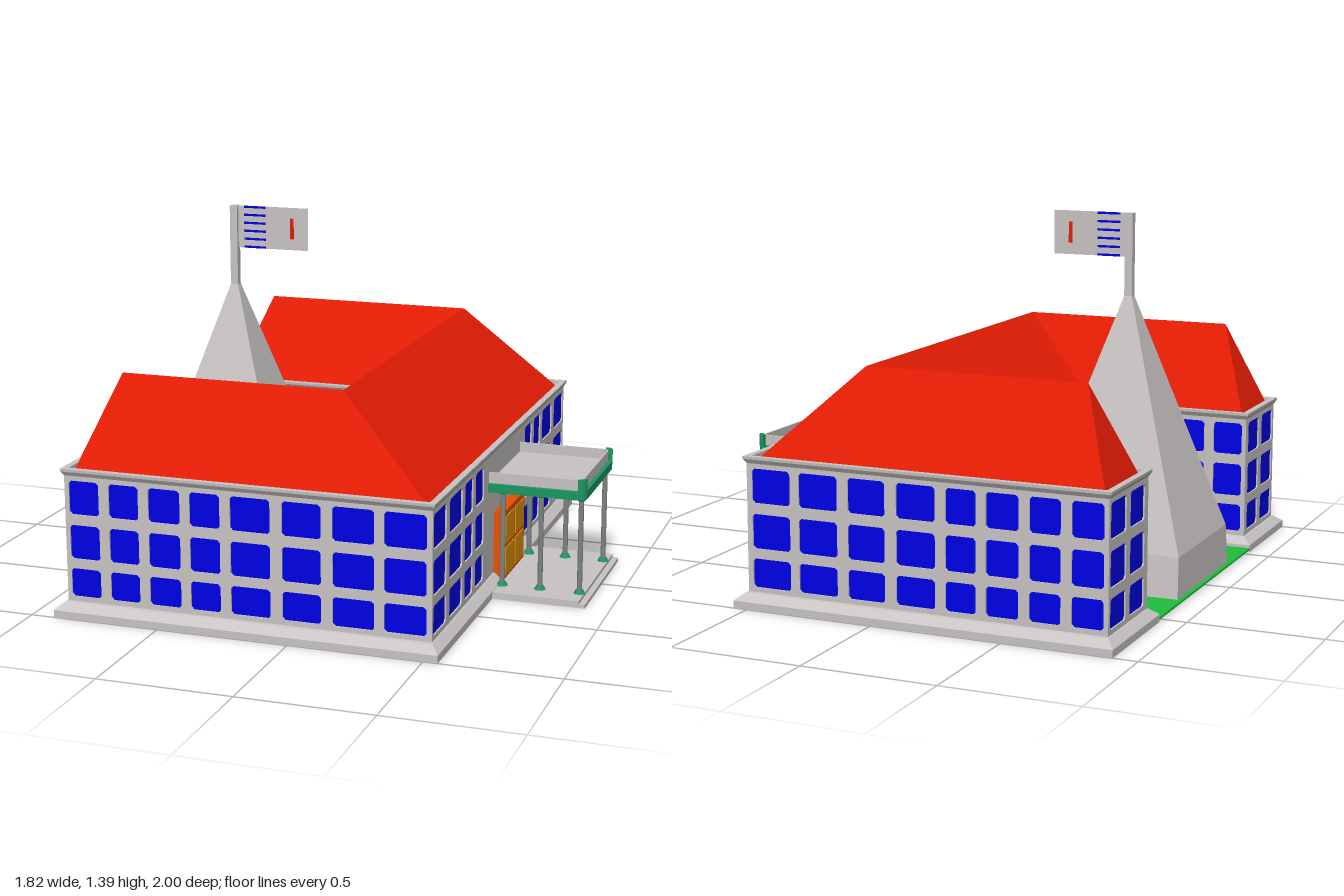
import * as THREE from 'three';
import { mergeGeometries } from 'three/addons/utils/BufferGeometryUtils.js';

const mat = (name, color, side = THREE.FrontSide) => {
  const m = new THREE.MeshStandardMaterial({ color, side });
  m.name = name;
  return m;
};

// Skin a list of closed sections, each a loop of [x, y, z] points
function loft(sections) {
  const pos = [];
  for (let s = 0; s + 1 < sections.length; s++) {
    const lo = sections[s], hi = sections[s + 1], n = lo.length;
    for (let i = 0; i < n; i++) {
      const j = (i + 1) % n;
      pos.push(...lo[i], ...lo[j], ...hi[j], ...lo[i], ...hi[j], ...hi[i]);
    }
  }
  const g = new THREE.BufferGeometry();
  g.setAttribute('position', new THREE.Float32BufferAttribute(pos, 3));
  g.computeVertexNormals();
  return g;
}

// U-shaped plan of the building at height y, grown outward by dx and dz, dx also in the court
const X0 = -0.874, X1 = 0.518, XI = -0.238, Z1 = 0.95, ZI = 0.57;
function plan(y, dx, dz = dx) {
  const a = X0 - dx, b = X1 + dx, c = XI - dx, z = Z1 + dz, i = ZI - dx;
  return [[a, y, z], [b, y, z], [b, y, -z], [a, y, -z], [a, y, -i], [c, y, -i], [c, y, i], [a, y, i]];
}

const rect = (x, hx, hz, y) => [[x - hx, y, hz], [x + hx, y, hz], [x + hx, y, -hz], [x - hx, y, -hz]];

// Flat shape in x/z, extruded down from yTop
function slab(shape, h, yTop) {
  return new THREE.ExtrudeGeometry(shape, { depth: h, bevelEnabled: false, curveSegments: 6 })
    .rotateX(Math.PI / 2).translate(0, yTop, 0);
}

// Window outline with clipped corners
function windowShape(u0, u1, v0, v1) {
  const c = 0.01, s = new THREE.Shape();
  s.moveTo(u0 + c, v0).lineTo(u1 - c, v0).lineTo(u1, v0 + c).lineTo(u1, v1 - c);
  s.lineTo(u1 - c, v1).lineTo(u0 + c, v1).lineTo(u0, v1 - c).lineTo(u0, v0 + c).closePath();
  return s;
}

// Canopy outline with rounded front corners
function canopyPath(PathType, inset, xBack) {
  const x = 0.89 - inset, z = 0.245 - inset, r = 0.035 - inset * 0.5, p = new PathType();
  p.moveTo(xBack, -z).lineTo(x - r, -z).quadraticCurveTo(x, -z, x, -z + r);
  p.lineTo(x, z - r).quadraticCurveTo(x, z, x - r, z).lineTo(xBack, z).closePath();
  return p;
}

export function createModel() {
  const root = new THREE.Group();
  root.name = 'courtyardBuilding';
  const stone = mat('stone grey', 0xc8c4c3, THREE.DoubleSide);
  const red = mat('roof red', 0xee1e04);
  const blue = mat('window blue', 0x0000ea);
  const grass = mat('grass green', 0x1ec03a);
  const trim = mat('trim green', 0x1c9862);
  const metal = mat('column grey', 0x7e8682);
  const orange = mat('door orange', 0xe85204);
  const amber = mat('door panel amber', 0xe09408);

  const add = (name, geo, material, parent = root) => {
    const m = new THREE.Mesh(geo, material);
    m.name = name;
    parent.add(m);
    return m;
  };
  const box = (name, x0, x1, y0, y1, z0, z1, material) =>
    add(name, new THREE.BoxGeometry(x1 - x0, y1 - y0, z1 - z0)
      .translate((x0 + x1) / 2, (y0 + y1) / 2, (z0 + z1) / 2), material);

  // Plinth, inner walls and flared cornice with a gutter
  const depth = 0.008;
  add('walls', loft([plan(0, 0.036, 0.05), plan(0.028, 0.036, 0.05), plan(0.053, 0.006, 0.012), plan(0.055, 0),
    plan(0.055, -depth), plan(0.53, -depth), plan(0.53, 0), plan(0.546, 0.01), plan(0.556, 0.011),
    plan(0.556, -0.014), plan(0.535, -0.014)]), stone);
  const floor = new THREE.Shape(plan(0, 0.036, 0.05).map(([x, , z]) => new THREE.Vector2(x, z)));
  add('underside', new THREE.ShapeGeometry(floor).rotateX(Math.PI / 2), stone);

  // Hipped roof over the three wings
  const A = [-0.72, 0.88, 0.76], B = [0.13, 0.88, 0.76], C = [0.13, 0.88, -0.76], D = [-0.72, 0.88, -0.76];
  add('roof', loft([plan(0.535, -0.024, -0.026), [A, B, C, D, D, C, B, A]]), red);

  // Facades: a wall face pierced by three storeys of recessed windows
  const rows = [[0.073, 0.18], [0.217, 0.345], [0.385, 0.512]];
  const facade = (name, cols, u0, u1, x, z, turn) => {
    const g = new THREE.Group();
    g.name = name;
    g.position.set(x, 0, z);
    g.rotation.y = turn;
    root.add(g);
    const openings = cols.flatMap(([a, b]) => rows.map(([c, d]) => windowShape(a, b, c, d)));
    const wall = new THREE.Shape();
    wall.moveTo(u0, 0.055).lineTo(u1, 0.055).lineTo(u1, 0.53).lineTo(u0, 0.53).closePath();
    wall.holes.push(...openings);
    add('wallFace', new THREE.ExtrudeGeometry(wall, { depth, bevelEnabled: false }).translate(0, 0, -depth), stone, g);
    const panes = mergeGeometries(openings.map(s => new THREE.ShapeGeometry(s)));
    add('windows', panes.translate(0, 0, 0.002 - depth), blue, g);
  };
  const flip = cols => cols.map(([a, b]) => [-b, -a]);
  const long = [[-0.857, -0.74], [-0.7, -0.585], [-0.545, -0.423], [-0.385, -0.27],
    [-0.23, -0.08], [-0.035, 0.11], [0.153, 0.307], [0.343, 0.497]];
  const half = [[0.3, 0.41], [0.445, 0.55], [0.583, 0.742], [0.782, 0.937]];
  const end = [[0.605, 0.745], [0.785, 0.932]];
  const court = [[0.03, 0.17], [0.22, 0.36], [0.41, 0.54]];
  facade('frontFacade', long, X0, X1, 0, Z1, 0);
  facade('backFacade', flip(long), -X1, -X0, 0, -Z1, Math.PI);
  facade('entranceFacade', [...half, ...flip(half)], -Z1, Z1, X1, 0, Math.PI / 2);
  facade('frontWingEnd', end, ZI, Z1, X0, 0, -Math.PI / 2);
  facade('backWingEnd', flip(end), -Z1, -ZI, X0, 0, -Math.PI / 2);
  facade('courtFrontFacade', flip(long.slice(0, 4)), -XI, -X0, 0, ZI, Math.PI);
  facade('courtBackFacade', long.slice(0, 4), X0, XI, 0, -ZI, 0);
  facade('courtSideFacade', [...court, ...flip(court)], -ZI, ZI, XI, 0, -Math.PI / 2);

  // Courtyard lawn around the tower
  for (const s of [-1, 1]) {
    box('lawn', -0.91, -0.274, 0.008, 0.016, s * 0.413 - 0.121, s * 0.413 + 0.121, grass);
  }
  box('lawnEdge', -0.91, -0.894, 0.008, 0.016, -0.292, 0.292, grass);

  // Pyramid tower, open underneath, rising into a flagpole
  const tx = -0.584;
  add('tower', loft([rect(tx, 0.29, 0.272, 0), rect(tx, 0.31, 0.296, 0), rect(tx, 0.306, 0.278, 0.17),
    rect(tx, 0.015, 0.014, 1.08), rect(tx, 0.015, 0.014, 1.39), rect(tx, 0, 0, 1.39)]), stone);

  // Flag with stripes and a bar
  add('flag', new THREE.PlaneGeometry(0.29, 0.165).translate(-0.425, 1.3075, 0), stone);
  for (let i = 0; i < 6; i++) {
    const y = 1.229 + i * 0.0313;
    box('flagStripe', -0.545, -0.455, y - 0.0043, y + 0.0043, -0.001, 0.001, blue);
  }
  box('flagBar', -0.354, -0.339, 1.268, 1.348, -0.001, 0.001, red);

  // Entrance steps
  box('landing', 0.5, 0.885, 0, 0.026, -0.295, 0.295, stone);
  box('lowerStep', 0.5, 0.908, 0, 0.014, -0.295, 0.295, stone);

  // Double door
  box('doorFrame', 0.5, 0.558, 0.026, 0.296, -0.152, 0.152, orange);
  for (const z of [-0.072, 0.072]) {
    for (const [y0, y1] of [[0.04, 0.15], [0.167, 0.274]]) {
      box('doorPanel', 0.555, 0.562, y0, y1, z - 0.061, z + 0.061, amber);
    }
  }

  // Canopy: trim band, roof deck, parapet and corner pieces
  add('canopyBand', slab(canopyPath(THREE.Shape, 0, 0.505), 0.032, 0.43), trim);
  add('canopyDeck', slab(canopyPath(THREE.Shape, 0.016, 0.505), 0.036, 0.433), stone);
  const parapet = canopyPath(THREE.Shape, 0.015, 0.505);
  parapet.holes.push(canopyPath(THREE.Path, 0.021, 0.515));
  add('canopyParapet', slab(parapet, 0.04, 0.472), stone);
  for (const s of [-1, 1]) {
    const c = new THREE.Shape();
    c.moveTo(0.86, 0.245).quadraticCurveTo(0.89, 0.245, 0.89, 0.215).lineTo(0.875, 0.215);
    c.quadraticCurveTo(0.875, 0.23, 0.86, 0.23).closePath();
    add('canopyCorner', slab(c, 0.046, 0.475), trim).scale.z = s;

    // Columns with round feet and caps
    for (const x of [0.567, 0.714, 0.866]) {
      const column = new THREE.Group();
      column.name = 'column';
      column.position.set(x, 0.026, s * 0.203);
      root.add(column);
      add('shaft', new THREE.CylinderGeometry(0.01, 0.01, 0.37, 12).translate(0, 0.187, 0), metal, column);
      add('foot', new THREE.CylinderGeometry(0.014, 0.022, 0.014, 12).translate(0, 0.007, 0), trim, column);
      add('cap', new THREE.CylinderGeometry(0.02, 0.013, 0.014, 12).translate(0, 0.367, 0), trim, column);
    }
  }
  return root;
}
